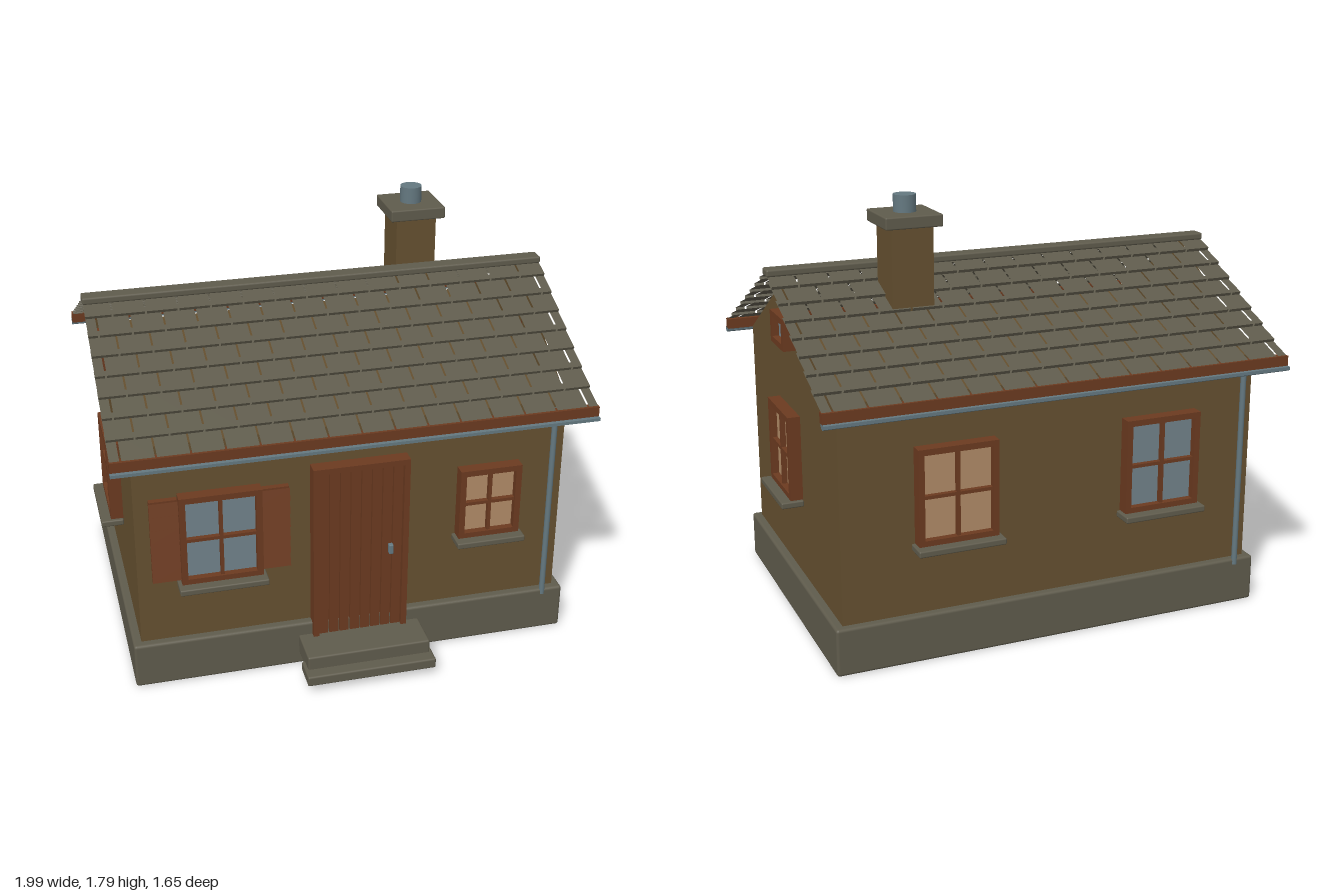
import * as THREE from 'three';
import { RoundedBoxGeometry } from 'three/addons/geometries/RoundedBoxGeometry.js';

const D = THREE.DoubleSide;
const mat = (name, color, side = THREE.FrontSide) => {
  const m = new THREE.MeshStandardMaterial({ color, side });
  m.name = name;
  return m;
};

const ZC = -0.055; // the house's own middle in z

export function createModel() {
  const plaster = mat('plaster', 0x655030, D);
  const stone = mat('stone', 0x5f5b4c, D);
  const wood = mat('wood', 0x6b3a20);
  const warmGlass = mat('warmGlass', 0xb08b67);
  const coolGlass = mat('coolGlass', 0x71828a);
  const zinc = mat('zinc', 0x647880);

  const house = new THREE.Group();
  house.name = 'cottage';

  const add = (parent, name, geo, material, x = 0, y = 0, z = 0) => {
    const m = new THREE.Mesh(geo, material);
    m.name = name;
    m.position.set(x, y, z);
    parent.add(m);
    return m;
  };
  // box given by its limits; r > 0 rounds the edges
  const box = (parent, name, material, x0, x1, y0, y1, z0, z1, r = 0) => {
    const s = [x1 - x0, y1 - y0, z1 - z0];
    const geo = r ? new RoundedBoxGeometry(...s, 2, r) : new THREE.BoxGeometry(...s);
    return add(parent, name, geo, material, (x0 + x1) / 2, (y0 + y1) / 2, (z0 + z1) / 2);
  };
  const group = (name, x, y, z, turn = 0) => {
    const g = new THREE.Group();
    g.name = name;
    g.position.set(x, y, z);
    g.rotation.y = turn;
    house.add(g);
    return g;
  };

  // Plinth, walls and gables
  box(house, 'plinth', stone, -0.935, 0.935, 0, 0.2, -0.712, 0.605, 0.012);
  box(house, 'walls', plaster, -0.9, 0.9, 0.2, 1.1, -0.68, 0.57);
  const tri = new THREE.Shape([
    new THREE.Vector2(-0.625, 0), new THREE.Vector2(0.625, 0), new THREE.Vector2(0, 0.365),
  ]);
  for (const s of [-1, 1]) {
    add(house, 'gable', new THREE.ShapeGeometry(tri), plaster, s * 0.9, 1.1, ZC).rotation.y = s * Math.PI / 2;
  }

  // Shingled roof: overlapping rows of open shingles, each a sloping top and a front lip
  const ROWS = 8, PITCH = 0.135, GAP = 0.008, HALF = 0.988, LIFT = 0.014;
  const ridge = new THREE.Vector2(0, 1.475), eave = new THREE.Vector2(0.735, 1.102);
  const slope = eave.clone().sub(ridge);
  const normal = new THREE.Vector2(-slope.y, slope.x).normalize();
  const at = (t, off) => ridge.clone().addScaledVector(slope, t).addScaledVector(normal, off);
  const pos = [];
  for (let row = 0; row < ROWS; row++) {
    const end = (row + 1) / ROWS;
    const over = row === 0 ? 1 : 1.4;
    const p = [at(end - over / ROWS, LIFT * (1 - over)), at(end, LIFT), at(end, 0)];
    for (let i = -9; i <= 9; i++) {
      const c = (i + (row % 2) / 2) * PITCH;
      const x0 = Math.max(c - PITCH / 2 + GAP / 2, -HALF);
      const x1 = Math.min(c + PITCH / 2 - GAP / 2, HALF);
      if (x1 - x0 < 0.005) continue;
      for (let k = 0; k < 2; k++) {
        const a = p[k], b = p[k + 1];
        pos.push(x0, a.y, a.x, x0, b.y, b.x, x1, b.y, b.x);
        pos.push(x0, a.y, a.x, x1, b.y, b.x, x1, a.y, a.x);
      }
    }
  }
  const shingles = new THREE.BufferGeometry();
  shingles.setAttribute('position', new THREE.Float32BufferAttribute(pos, 3));
  shingles.computeVertexNormals();
  for (const turn of [0, Math.PI]) {
    const side = group(turn ? 'backRoof' : 'frontRoof', 0, 0, ZC, turn);
    add(side, 'shingles', shingles, stone);
    box(side, 'fascia', wood, -0.99, 0.99, 1.072, 1.115, 0.718, 0.752);
    const gutter = new THREE.CylinderGeometry(0.02, 0.02, 1.98, 10, 1, false, -Math.PI / 2, Math.PI);
    gutter.rotateZ(Math.PI / 2);
    gutter.rotateX(Math.PI / 2);
    gutter.computeBoundingBox();
    gutter.translate(0, -gutter.boundingBox.max.y, 0);
    // flat rim on top, round underneath
    const g = add(side, 'gutter', gutter, zinc, 0, 1.072, 0.75);
    g.material = zinc;
    box(side, 'gutterRim', zinc, -0.99, 0.99, 1.06, 1.073, 0.732, 0.77);
    add(side, 'downpipe', new THREE.CylinderGeometry(0.012, 0.012, 0.9, 12), zinc, 0.845, 0.625, 0.652);
  }
  box(house, 'ridgeCap', stone, -0.992, 0.992, 1.465, 1.495, ZC - 0.035, ZC + 0.035, 0.008);

  // Chimney
  box(house, 'chimney', plaster, 0.375, 0.55, 1.28, 1.68, -0.33, -0.15);
  box(house, 'chimneyCap', stone, 0.343, 0.582, 1.67, 1.72, -0.358, -0.122, 0.006);
  add(house, 'chimneyPot', new THREE.CylinderGeometry(0.046, 0.046, 0.08, 20), zinc, 0.462, 1.75, -0.24);

  // Window facing +z; x, z mark the middle on the wall, y the bottom of the frame
  const windowAt = (name, x, y, z, turn, w, h, glass, { bars = true, sill = true } = {}) => {
    const g = group(name, x, y, z, turn);
    const t = 0.025, d = 0.053, hw = w / 2;
    for (const s of [-1, 1]) {
      const c = s * (hw - t / 2);
      box(g, 'frameSide', wood, c - t / 2, c + t / 2, 0, h, 0, d);
    }
    box(g, 'frameBottom', wood, -hw + t, hw - t, 0, t, 0, d);
    box(g, 'frameTop', wood, -hw + t, hw - t, h - t, h, 0, d);
    box(g, 'pane', glass, -hw + t, hw - t, t, h - t, 0.016, 0.024);
    if (bars) {
      box(g, 'uprightBar', wood, -0.007, 0.007, t, h - t, 0.02, 0.045);
      box(g, 'crossBar', wood, -hw + t, hw - t, h / 2 - 0.007, h / 2 + 0.007, 0.02, 0.045);
    }
    if (sill) box(g, 'sill', stone, -hw - 0.015, hw + 0.015, -0.025, 0.002, 0, 0.095, 0.006);
    return g;
  };
  const Q = Math.PI / 2;
  const shuttered = windowAt('frontLeftWindow', -0.558, 0.48, 0.57, 0, 0.335, 0.4, coolGlass);
  windowAt('frontRightWindow', 0.573, 0.525, 0.57, 0, 0.265, 0.32, warmGlass);
  windowAt('backWindow', 0.43, 0.497, -0.68, Math.PI, 0.335, 0.4, warmGlass);
  windowAt('backWindow', -0.465, 0.497, -0.68, Math.PI, 0.335, 0.4, coolGlass);
  for (const s of [-1, 1]) {
    windowAt('sideWindow', s * 0.9, 0.54, -0.015, s * Q, 0.31, 0.36, warmGlass);
    windowAt('atticWindow', s * 0.9, 1.172, ZC, s * Q, 0.19, 0.133, coolGlass, { bars: false, sill: false });
    // Shutters with tilted slats
    const c = s * 0.226;
    box(shuttered, 'shutter', wood, c - 0.056, c + 0.056, 0.012, 0.385, 0, 0.025);
    for (let i = 0; i < 6; i++) {
      const slat = box(shuttered, 'slat', wood, c - 0.058, c + 0.058, 0.018 + i * 0.061, 0.072 + i * 0.061, 0.022, 0.034);
      slat.rotation.x = -0.25;
    }
  }

  // Plank door with frame and handle
  const door = group('door', 0.018, 0.14, 0.57);
  for (const s of [-1, 1]) box(door, 'doorPost', wood, s * 0.19 - 0.012, s * 0.19 + 0.012, 0, 0.8, 0, 0.06);
  box(door, 'doorLintel', wood, -0.178, 0.178, 0.776, 0.8, 0, 0.06);
  box(door, 'doorBacking', wood, -0.178, 0.178, 0, 0.776, 0, 0.03);
  const plank = 0.356 / 8;
  for (let i = 0; i < 8; i++) {
    const x = -0.178 + i * plank;
    box(door, 'doorPlank', wood, x + 0.003, x + plank - 0.003, 0.004, 0.773, 0.02, 0.046);
  }
  box(door, 'doorHandle', zinc, 0.117, 0.137, 0.365, 0.41, 0.045, 0.068, 0.005);

  // Door steps
  box(house, 'upperStep', stone, -0.242, 0.282, 0.055, 0.142, 0.57, 0.772, 0.008);
  box(house, 'lowerStep', stone, -0.255, 0.295, 0.038, 0.084, 0.705, 0.825, 0.008);

  return house;
}
